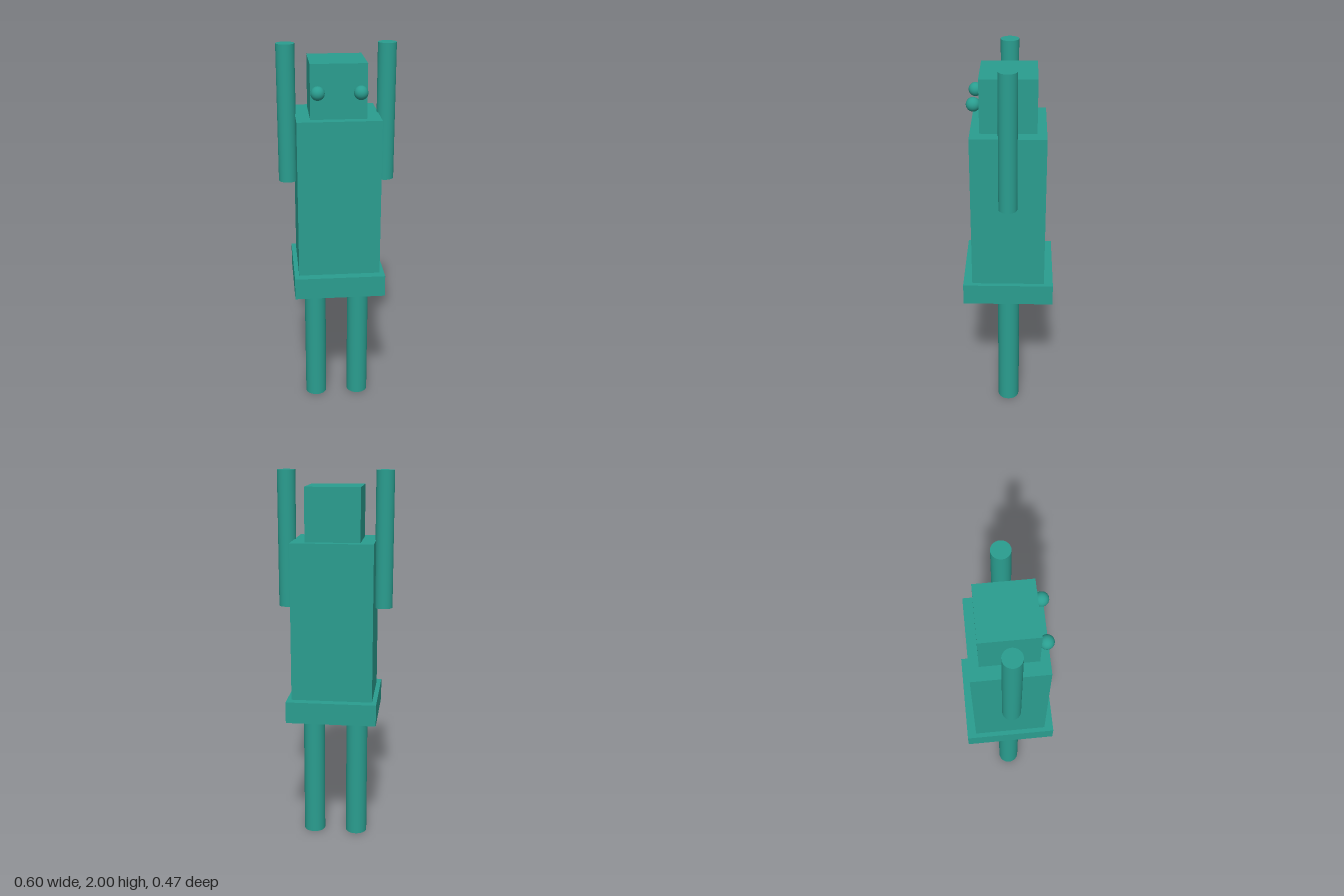
import * as THREE from 'three';

export function createModel() {
  const group = new THREE.Group();
  const teal = new THREE.MeshStandardMaterial({ color: 0x2a9d8f });
  teal.name = 'teal';

  function add(name, geometry, x, y, z) {
    const mesh = new THREE.Mesh(geometry, teal);
    mesh.name = name;
    mesh.position.set(x, y, z);
    group.add(mesh);
  }

  // Block with its base at the given height
  function block(name, width, depth, bottom, top) {
    add(name, new THREE.BoxGeometry(width, top - bottom, depth), 0, (bottom + top) / 2, 0);
  }

  // Upright rod between two heights
  function rod(name, radius, x, bottom, top) {
    add(name, new THREE.CylinderGeometry(radius, radius, top - bottom, 32), x, (bottom + top) / 2, 0);
  }

  // Central stack
  block('hips', 0.472, 0.472, 0.713, 0.827);
  block('torso', 0.424, 0.378, 0.827, 1.648);
  block('head', 0.283, 0.283, 1.648, 1.922);

  // Mirrored limbs and eyes
  for (const [side, s] of [['left', 1], ['right', -1]]) {
    rod(side + 'Leg', 0.058, s * 0.118, 0, 0.713);
    rod(side + 'Arm', 0.047, s * 0.254, 1.294, 2);
    add(side + 'Eye', new THREE.SphereGeometry(0.035, 32, 16), s * 0.106, 1.785, 0.17);
  }

  return group;
}
